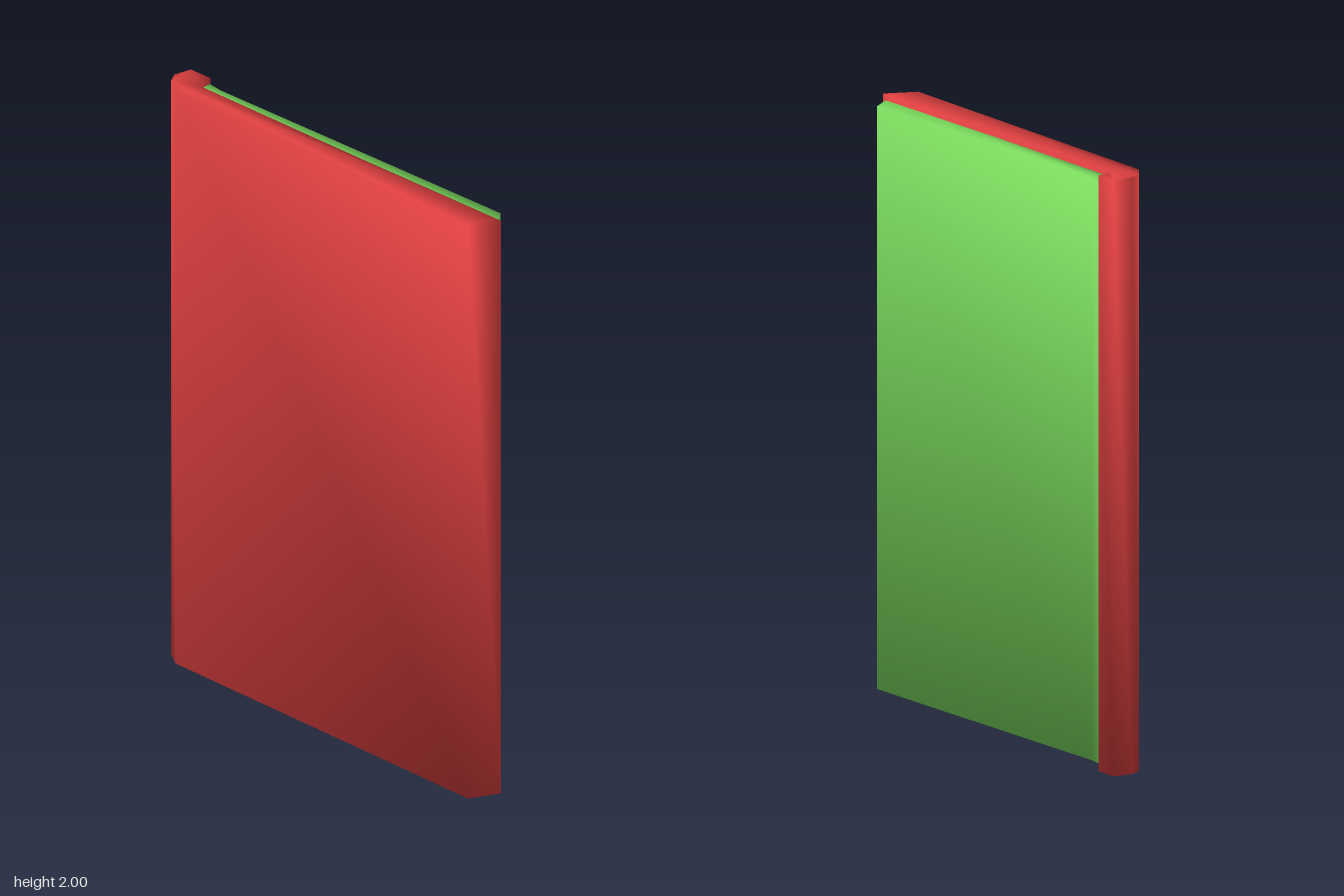
import * as THREE from 'three';
import { toCreasedNormals } from 'three/addons/utils/BufferGeometryUtils.js';

// Upright slab from a plan outline of [x, z] points, with softly shaded edges
function upright(name, outline, bottom, top, color) {
  const shape = new THREE.Shape(outline.map(([x, z]) => new THREE.Vector2(x, -z)));
  const extruded = new THREE.ExtrudeGeometry(shape, { depth: top - bottom, bevelEnabled: false });
  extruded.rotateX(-Math.PI / 2).translate(0, bottom, 0);
  const mesh = new THREE.Mesh(
    toCreasedNormals(extruded, 1.75),
    new THREE.MeshStandardMaterial({ color })
  );
  mesh.name = name;
  return mesh;
}

export function createModel() {
  const group = new THREE.Group();
  group.name = 'panel';

  // Outer shell: long slightly tapering board, curling round at the back into a lip
  group.add(upright('outerShell', [
    [-0.10, 0.91], [0.02, 0.93], [0.02, 0.9], [0.018, 0.1], [0.025, -0.76],
    [0.05, -0.80], [0.10, -0.82], [0.10, -0.93], [0.025, -0.92],
    [-0.025, -0.87], [-0.07, -0.78],
  ], 0, 2, 0xe04040));

  // Inner lining: fills the hollow of the shell, chamfered at the front end
  group.add(upright('innerLining', [
    [0.01, 0.91], [0.022, 0.91], [0.098, 0.82], [0.088, -0.75], [0.098, -0.82],
    [0.05, -0.81], [0.02, -0.77], [0.01, 0.1],
  ], 0.025, 1.98, 0x7ee060));

  return group;
}
